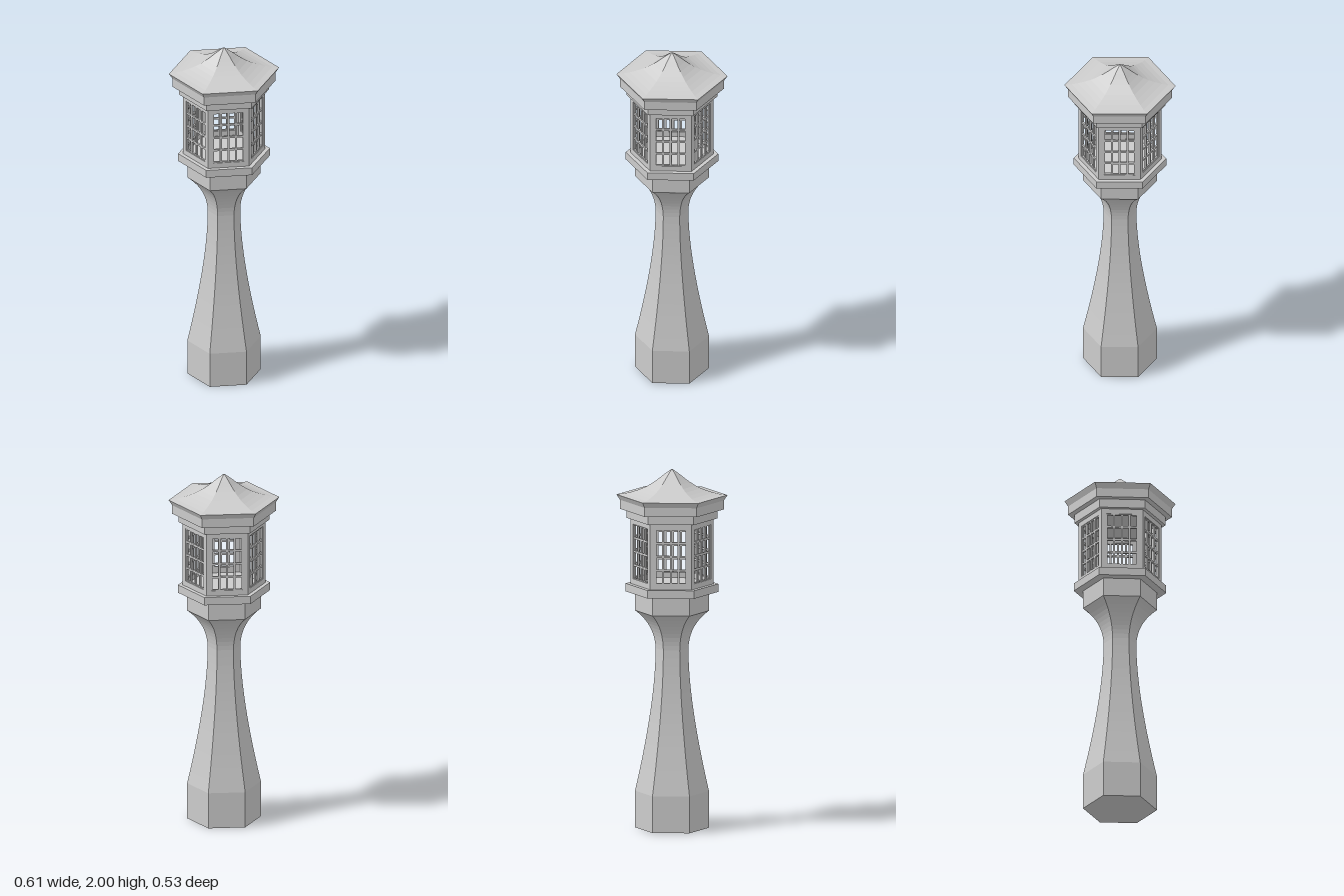
import * as THREE from 'three';

const SIDES = 6;

export function createModel() {
  const model = new THREE.Group();
  model.name = 'lanternPost';
  const stone = new THREE.MeshStandardMaterial({ color: 0xcccccc, flatShading: true });

  const add = (parent, name, geometry, x = 0, y = 0, z = 0) => {
    const mesh = new THREE.Mesh(geometry, stone);
    mesh.name = name;
    mesh.position.set(x, y, z);
    parent.add(mesh);
    return mesh;
  };

  // Six-sided turned solid with corners on the x axis, profile listed bottom to top
  const hexSolid = (name, profile) => {
    const points = profile.map((p) => new THREE.Vector2(p[0], p[1]));
    return add(model, name, new THREE.LatheGeometry(points, SIDES, Math.PI / 2));
  };
  const hexSlab = (name, radius, y0, y1) =>
    hexSolid(name, [[0, y0], [radius, y0], [radius, y1], [0, y1]]);
  const bend = (a, b, c, n) =>
    new THREE.QuadraticBezierCurve(...[a, b, c].map((p) => new THREE.Vector2(...p)))
      .getPoints(n).map((p) => [p.x, p.y]);

  // Plinth, tapering shaft and flared capital
  hexSolid('pedestal', [
    [0, 0], [0.203, 0],
    ...bend([0.203, 0.204], [0.09, 0.7], [0.09, 1.0], 14),
    ...bend([0.09, 1.0], [0.095, 1.13], [0.203, 1.21], 10).slice(1),
    [0.203, 1.315], [0, 1.315],
  ]);
  hexSlab('lanternSill', 0.254, 1.315, 1.36);

  // Lantern walls: six pierced panels with glazing bars
  const R = 0.228, apothem = R * Math.cos(Math.PI / SIDES);
  const y0 = 1.36, y1 = 1.725, depth = 0.018;
  const win = { w: 0.17, y0: 1.39, y1: 1.695 };
  const winH = win.y1 - win.y0, winMid = (win.y0 + win.y1) / 2;

  const rect = (Type, w, a, b) => {
    const path = new Type();
    path.moveTo(-w / 2, a);
    path.lineTo(w / 2, a);
    path.lineTo(w / 2, b);
    path.lineTo(-w / 2, b);
    path.closePath();
    return path;
  };
  const wall = rect(THREE.Shape, R, y0, y1);
  wall.holes.push(rect(THREE.Path, win.w, win.y0, win.y1));
  const wallGeo = new THREE.ExtrudeGeometry(wall, { depth, bevelEnabled: false });
  const bar = 0.011, barDepth = 0.01;
  const uprightGeo = new THREE.BoxGeometry(bar, winH, barDepth);
  const railGeo = new THREE.BoxGeometry(win.w, bar, barDepth);

  for (let k = 0; k < SIDES; k++) {
    const panel = new THREE.Group();
    panel.name = 'windowPanel' + (k + 1);
    panel.rotation.y = (k * Math.PI * 2) / SIDES;
    add(panel, 'wallFrame', wallGeo, 0, 0, apothem - depth);
    for (let i = -2; i <= 2; i++) {
      add(panel, 'uprightBar', uprightGeo, (i * win.w) / 4, winMid, apothem - depth / 2);
      add(panel, 'crossBar', railGeo, 0, winMid + (i * winH) / 4, apothem - depth / 2);
    }
    model.add(panel);
  }

  // Cornice steps, then the swept roof
  hexSlab('cornice', 0.25, y1, 1.775);
  hexSolid('eaves', [
    [0, 1.775], [0.285, 1.775], [0.285, 1.825], [0.305, 1.855], [0, 1.855],
  ]);
  hexSolid('roof', [
    [0.305, 1.855],
    [0.265, 1.86], [0.23, 1.868], [0.195, 1.879], [0.16, 1.892], [0.13, 1.907],
    [0.1, 1.926], [0.075, 1.944], [0.05, 1.964], [0.025, 1.983], [0, 2.0],
  ]);

  return model;
}
